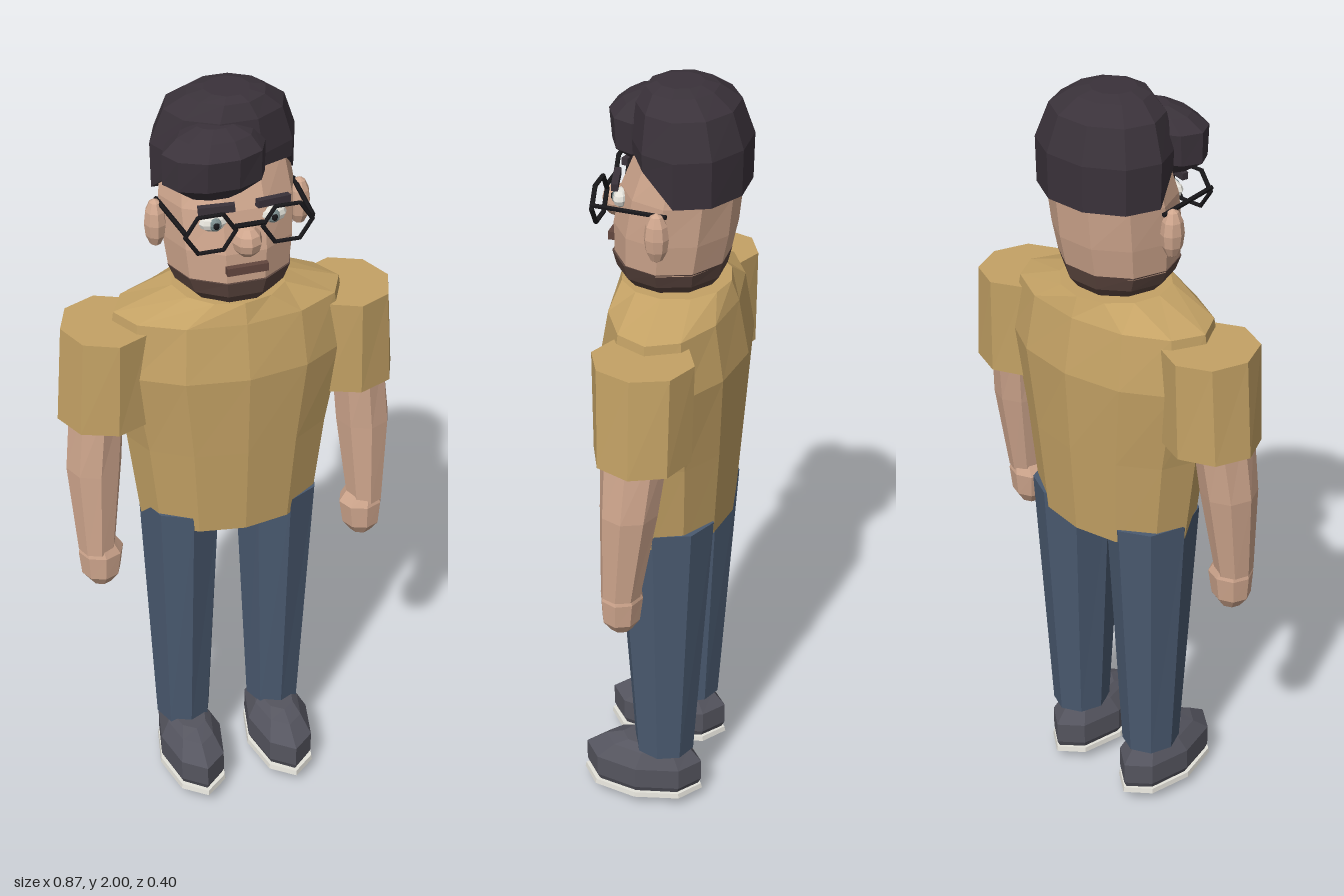
import * as THREE from 'three';

const mat = (color) => new THREE.MeshStandardMaterial({ color, flatShading: true });
const skin = mat(0xd0a78e), shirt = mat(0xc4a265), denim = mat(0x4a5a70), leather = mat(0x55555f);
const hairMat = mat(0x3a323a), beardMat = mat(0x5c463f), white = mat(0xe4e2da), black = mat(0x18171a);
const grey = mat(0x8a8a84), lip = mat(0x63473f), iris = mat(0x7d8f90);

// Closed faceted loft: rings run bottom to top as [y or y(angle), cx, cz, rx, rz]
function loft(rings, n, phase = 0) {
  const pos = [];
  const pt = ([y, cx, cz, rx, rz], i) => {
    const a = ((i + phase) / n) * Math.PI * 2;
    return [cx + rx * Math.sin(a), typeof y === 'function' ? y(Math.cos(a)) : y, cz + rz * Math.cos(a)];
  };
  const mid = ([y, cx, cz]) => [cx, typeof y === 'function' ? y(-1) : y, cz];
  const top = rings[rings.length - 1];
  for (let i = 0; i < n; i++) {
    pos.push(...mid(rings[0]), ...pt(rings[0], i + 1), ...pt(rings[0], i));
    pos.push(...mid(top), ...pt(top, i), ...pt(top, i + 1));
    for (let j = 0; j < rings.length - 1; j++) {
      const a = pt(rings[j], i), b = pt(rings[j], i + 1), c = pt(rings[j + 1], i + 1), d = pt(rings[j + 1], i);
      pos.push(...a, ...b, ...c, ...a, ...c, ...d);
    }
  }
  const g = new THREE.BufferGeometry();
  g.setAttribute('position', new THREE.Float32BufferAttribute(pos, 3));
  g.computeVertexNormals();
  return g;
}

export function createModel() {
  const model = new THREE.Group();
  const add = (name, geo, material, p = [0, 0, 0], s = [1, 1, 1], r = [0, 0, 0]) => {
    const m = new THREE.Mesh(geo, material);
    m.name = name;
    m.position.set(...p);
    m.scale.set(...s);
    m.rotation.set(...r);
    model.add(m);
    return m;
  };
  const ball = (w, h) => new THREE.SphereGeometry(1, w, h);
  // Straight rod between two points
  const rod = (name, a, b, r) => {
    const A = new THREE.Vector3(...a), B = new THREE.Vector3(...b), d = B.clone().sub(A);
    const m = add(name, new THREE.CylinderGeometry(r, r, d.length() + r, 6), black, A.clone().add(B).multiplyScalar(0.5).toArray());
    m.quaternion.setFromUnitVectors(new THREE.Vector3(0, 1, 0), d.normalize());
  };

  // Shirt body
  add('torso', loft([
    [0.86, 0, -0.022, 0.232, 0.148],
    [1.1, 0, -0.023, 0.262, 0.165],
    [1.32, 0, -0.024, 0.305, 0.178],
    [1.46, 0, -0.024, 0.285, 0.152],
    [1.51, 0, -0.022, 0.14, 0.135],
  ], 12), shirt);

  // Head, beard and hair
  add('beard', loft([
    [1.5, 0, -0.01, 0.1, 0.105],
    [1.535, 0, -0.01, 0.135, 0.132],
    [1.575, 0, -0.01, 0.152, 0.142],
  ], 10, 0.5), beardMat);
  add('head', loft([
    [1.57, 0, -0.012, 0.15, 0.138],
    [1.65, 0, -0.02, 0.16, 0.147],
    [1.75, 0, -0.035, 0.165, 0.142],
    [1.85, 0, -0.05, 0.15, 0.115],
  ], 10, 0.5), skin);
  add('hair', loft([
    [(c) => (c > 0.3 ? 1.81 + 0.03 * c : 1.757), 0, -0.06, 0.174, 0.138],
    [1.87, 0, -0.06, 0.176, 0.14],
    [1.955, 0, -0.05, 0.145, 0.12],
    [1.99, 0, -0.035, 0.095, 0.085],
    [2.0, 0, -0.03, 0.055, 0.055],
  ], 10, 0.5), hairMat);
  add('quiff', loft([
    [1.795, -0.062, 0.07, 0.07, 0.045],
    [1.83, -0.062, 0.07, 0.122, 0.077],
    [1.905, -0.062, 0.07, 0.122, 0.084],
    [1.935, -0.055, 0.06, 0.09, 0.06],
    [1.952, -0.05, 0.05, 0.045, 0.03],
  ], 10, 0.5), hairMat);

  // Face
  add('nose', ball(8, 6), skin, [0, 1.685, 0.125], [0.036, 0.039, 0.038]);
  add('mouth', new THREE.BoxGeometry(0.1, 0.02, 0.025), lip, [0, 1.612, 0.122]);
  rod('glassesBridge', [-0.032, 1.735, 0.14], [0.032, 1.735, 0.14], 0.006);

  for (const s of [1, -1]) {
    const side = s > 0 ? 'left' : 'right';
    add(side + 'Ear', ball(8, 6), skin, [s * 0.177, 1.685, -0.022], [0.027, 0.062, 0.03]);
    add(side + 'Eye', ball(10, 6), white, [s * 0.07, 1.727, 0.092], [0.036, 0.022, 0.02]);
    add(side + 'Iris', ball(8, 6), iris, [s * 0.07, 1.727, 0.106], [0.016, 0.017, 0.01]);
    add(side + 'Pupil', ball(8, 6), black, [s * 0.07, 1.727, 0.113], [0.008, 0.009, 0.006]);
    add(side + 'Eyebrow', new THREE.BoxGeometry(0.085, 0.018, 0.016), hairMat,
      [s * 0.068, 1.768, 0.106], [1, 1, 1], [0, s * 0.2, s * -0.06]);

    // Hexagonal glasses frame and temple
    add(side + 'LensFrame', new THREE.TorusGeometry(0.06, 0.006, 6, 6), black, [s * 0.092, 1.725, 0.14], [1, 0.88, 1]);
    rod(side + 'Temple', [s * 0.152, 1.735, 0.14], [s * 0.168, 1.735, -0.04], 0.006);

    // Sleeve, arm and hand
    add(side + 'Sleeve', loft([
      [1.185, s * 0.31, -0.025, 0.123, 0.12],
      [1.437, s * 0.302, -0.025, 0.113, 0.124],
    ], 8), shirt);
    add(side + 'Arm', loft([
      [0.81, s * 0.36, 0.018, 0.047, 0.05],
      [1.05, s * 0.353, -0.003, 0.07, 0.072],
      [1.25, s * 0.335, -0.016, 0.068, 0.085],
    ], 8), skin);
    add(side + 'Hand', loft([
      [0.705, s * 0.352, 0.02, 0.028, 0.028],
      [0.735, s * 0.352, 0.02, 0.05, 0.048],
      [0.8, s * 0.35, 0.018, 0.058, 0.054],
      [0.835, s * 0.356, 0.017, 0.042, 0.042],
    ], 8), skin);

    // Trouser leg
    add(side + 'Leg', loft([
      [0.17, s * 0.128, -0.026, 0.073, 0.079],
      [0.9, s * 0.128, -0.026, 0.107, 0.128],
    ], 8), denim);

    // Shoe with pale rim and dished sole
    const x = s * 0.125;
    add(side + 'Shoe', loft([
      [0.045, x, 0.033, 0.074, 0.15],
      [0.065, x, 0.033, 0.083, 0.16],
      [0.125, x, 0.033, 0.083, 0.16],
      [0.165, x, 0.022, 0.06, 0.115],
      [0.182, x, 0.01, 0.045, 0.08],
    ], 8), leather);
    add(side + 'SoleRim', loft([[0.034, x, 0.035, 0.087, 0.165], [0.048, x, 0.035, 0.085, 0.162]], 8), white);
    add(side + 'Sole', loft([[0.01, x, 0.035, 0.04, 0.08], [0.034, x, 0.035, 0.086, 0.164]], 8), grey);
    add(side + 'SolePad', loft([[0, x, 0.035, 0.028, 0.06], [0.011, x, 0.035, 0.04, 0.08]], 8), leather);
  }
  return model;
}
